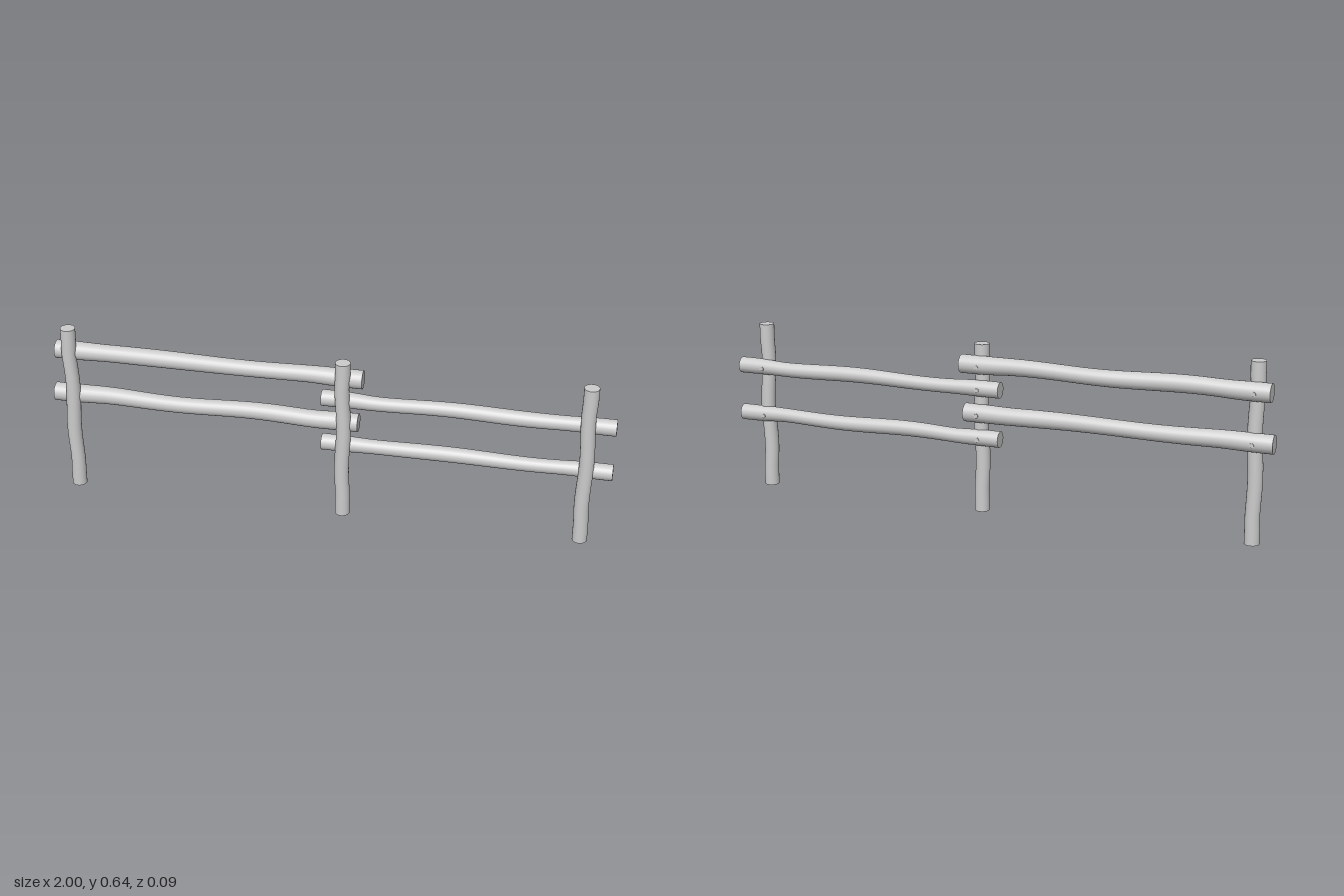
import * as THREE from 'three';

const material = new THREE.MeshStandardMaterial({ color: 0xcccccc });

// Rough log along +y from the origin: straight ends, gently bent and thinned middle
function logGeometry(length, radius, bend, thin, seed) {
  const geo = new THREE.CylinderGeometry(radius, radius, length, 24, 24);
  geo.translate(0, length / 2, 0);
  const p = geo.attributes.position;
  for (let i = 0; i < p.count; i++) {
    const t = p.getY(i) / length;
    const fade = THREE.MathUtils.smoothstep(t, 0.06, 0.2) * (1 - THREE.MathUtils.smoothstep(t, 0.82, 0.95));
    const s = 1 - thin * fade * (0.7 + 0.3 * Math.sin(t * 9 + seed));
    p.setX(i, p.getX(i) * s + bend * fade * Math.sin(t * 11 + seed));
    p.setZ(i, p.getZ(i) * s + bend * fade * Math.sin(t * 13 + seed * 2.3));
  }
  return geo;
}

function add(parent, name, geometry) {
  const mesh = new THREE.Mesh(geometry, material);
  mesh.name = name;
  parent.add(mesh);
  return mesh;
}

export function createModel() {
  const fence = new THREE.Group();
  fence.name = 'fence';

  // Upright posts: name, x, height
  const posts = [['rightPost', -0.93, 0.64], ['middlePost', 0.056, 0.612], ['leftPost', 0.906, 0.612]];
  posts.forEach(([name, x, height], i) => {
    add(fence, name, logGeometry(height, 0.0265, 0.003, 0.04, 1 + i * 0.5)).position.set(x, 0, 0.0155);
  });

  // Horizontal rails: name, start x, end x, y, z, radius, x of the posts they are nailed to
  const rails = [
    ['rightUpperRail', -0.985, 0.123, 0.539, -0.01, 0.033, [-0.93, 0.056]],
    ['rightLowerRail', -1, 0.108, 0.364, -0.01, 0.033, [-0.93, 0.056]],
    ['leftUpperRail', -0.022, 1, 0.454, -0.007, 0.029, [0.056, 0.906]],
    ['leftLowerRail', -0.022, 1, 0.275, -0.007, 0.029, [0.056, 0.906]],
  ];
  rails.forEach(([name, x0, x1, y, z, radius, nails], i) => {
    const rail = add(fence, name, logGeometry(x1 - x0, radius, 0.003, 0.13, 2 + i * 1.7));
    rail.rotation.z = -Math.PI / 2;
    rail.position.set(x0, y, z);

    // Nail heads on the back of the rail
    for (const x of nails) {
      const nail = add(fence, name + 'Nail', new THREE.CylinderGeometry(0.008, 0.008, 0.012, 12));
      nail.rotation.x = Math.PI / 2;
      nail.position.set(x, y - 0.002, z - radius + 0.004);
    }
  });
  return fence;
}
